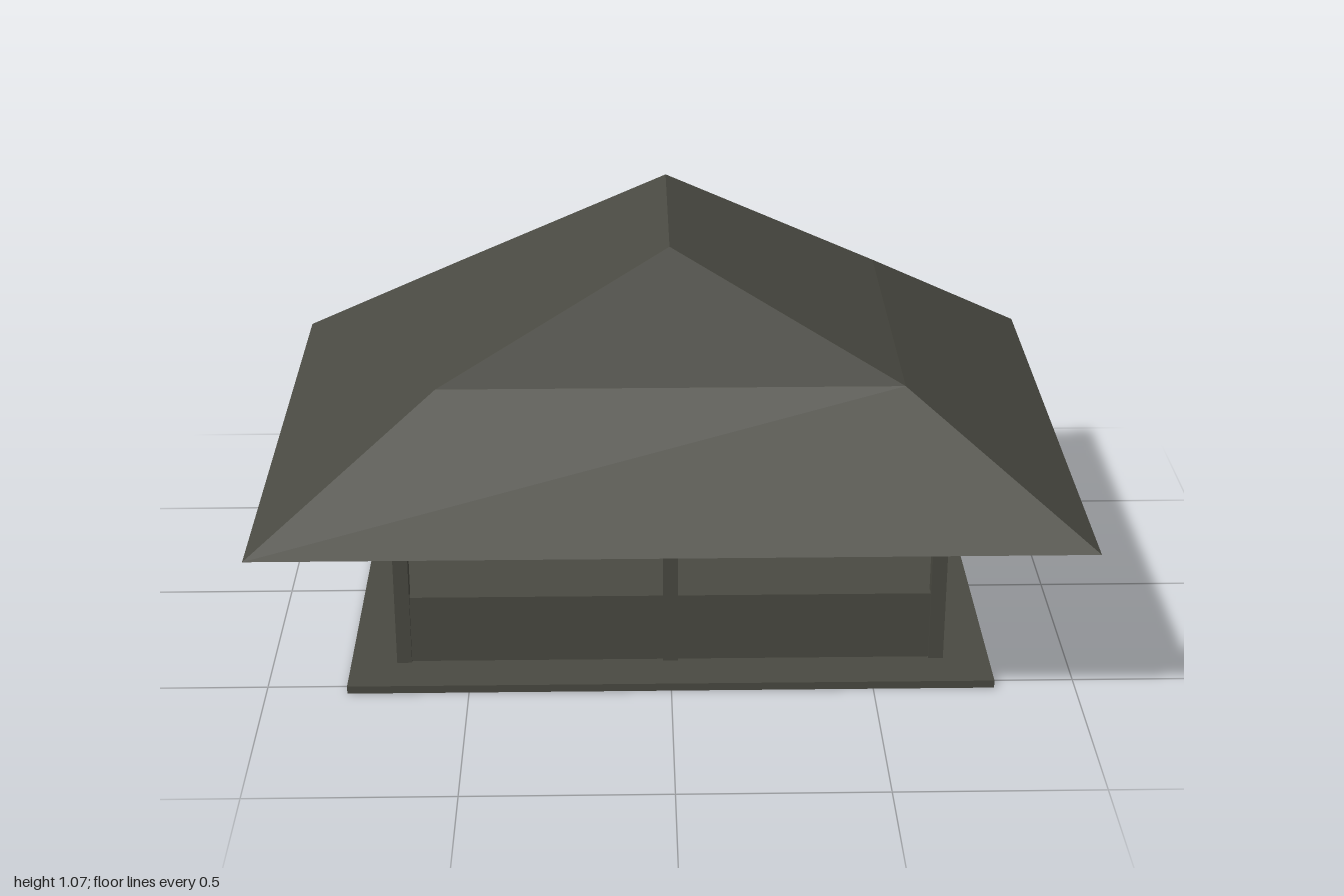
import * as THREE from 'three';

export function createModel() {
  const model = new THREE.Group();
  model.name = 'pavilion';
  const wood = new THREE.MeshStandardMaterial({ color: 0x4a4a42 });
  wood.name = 'dark timber';
  const shingle = new THREE.MeshStandardMaterial({ color: 0x4a4a42, side: THREE.DoubleSide });
  shingle.name = 'dark roofing';

  const box = (name, w, h, d, x, y, z) => {
    const mesh = new THREE.Mesh(new THREE.BoxGeometry(w, h, d), wood);
    mesh.name = name;
    mesh.position.set(x, y + h / 2, z); // y is the underside
    model.add(mesh);
  };

  const T = 0.037, PX = 0.667, PZ = 0.402;
  const FLOOR = 0.02, BEAM_Y = 0.456, BEAM_H = 0.034;

  box('floor', 1.6, FLOOR, 1.07, 0, 0, 0);

  // Posts, with a cross beam joining each front and back pair
  for (const x of [-PX, 0, PX]) {
    for (const z of [-PZ, PZ]) box('post', T, BEAM_Y + BEAM_H - FLOOR, T, x, FLOOR, z);
    box('crossBeam', T, BEAM_H, 2 * PZ - T, x, BEAM_Y, 0);
  }

  // Long beams and the low front wall, fitted between the posts
  const bay = PX - T;
  for (const x of [-PX / 2, PX / 2]) {
    for (const z of [-PZ, PZ]) box('longBeam', bay, BEAM_H, T, x, BEAM_Y, z);
    box('frontWall', bay, 0.18, 0.02, x, FLOOR, PZ);
  }

  // Open hipped roof shell: eaves, break line and ridge as half sizes
  const rings = [
    { y: 0.47, x: 1, z: 0.73 },
    { y: 0.77, x: 0.562, z: 0.426 },
    { y: 1.07, x: 0, z: 0.268 },
  ];
  const corners = [[1, 1], [1, -1], [-1, -1], [-1, 1]];
  const points = [];
  const corner = (r, i) => [corners[i % 4][0] * r.x, r.y, corners[i % 4][1] * r.z];
  for (let k = 0; k < 2; k++) {
    const lower = rings[k], upper = rings[k + 1];
    for (let i = 0; i < 4; i++) {
      const a = corner(lower, i), b = corner(lower, i + 1);
      const c = corner(upper, i + 1), d = corner(upper, i);
      points.push(...a, ...b, ...c);
      // The upper end faces close to a point on the ridge
      if (upper.x > 0 || i % 2 === 0) points.push(...a, ...c, ...d);
    }
  }
  const roofGeometry = new THREE.BufferGeometry();
  roofGeometry.setAttribute('position', new THREE.Float32BufferAttribute(points, 3));
  roofGeometry.computeVertexNormals();
  const roof = new THREE.Mesh(roofGeometry, shingle);
  roof.name = 'roof';
  model.add(roof);

  return model;
}
